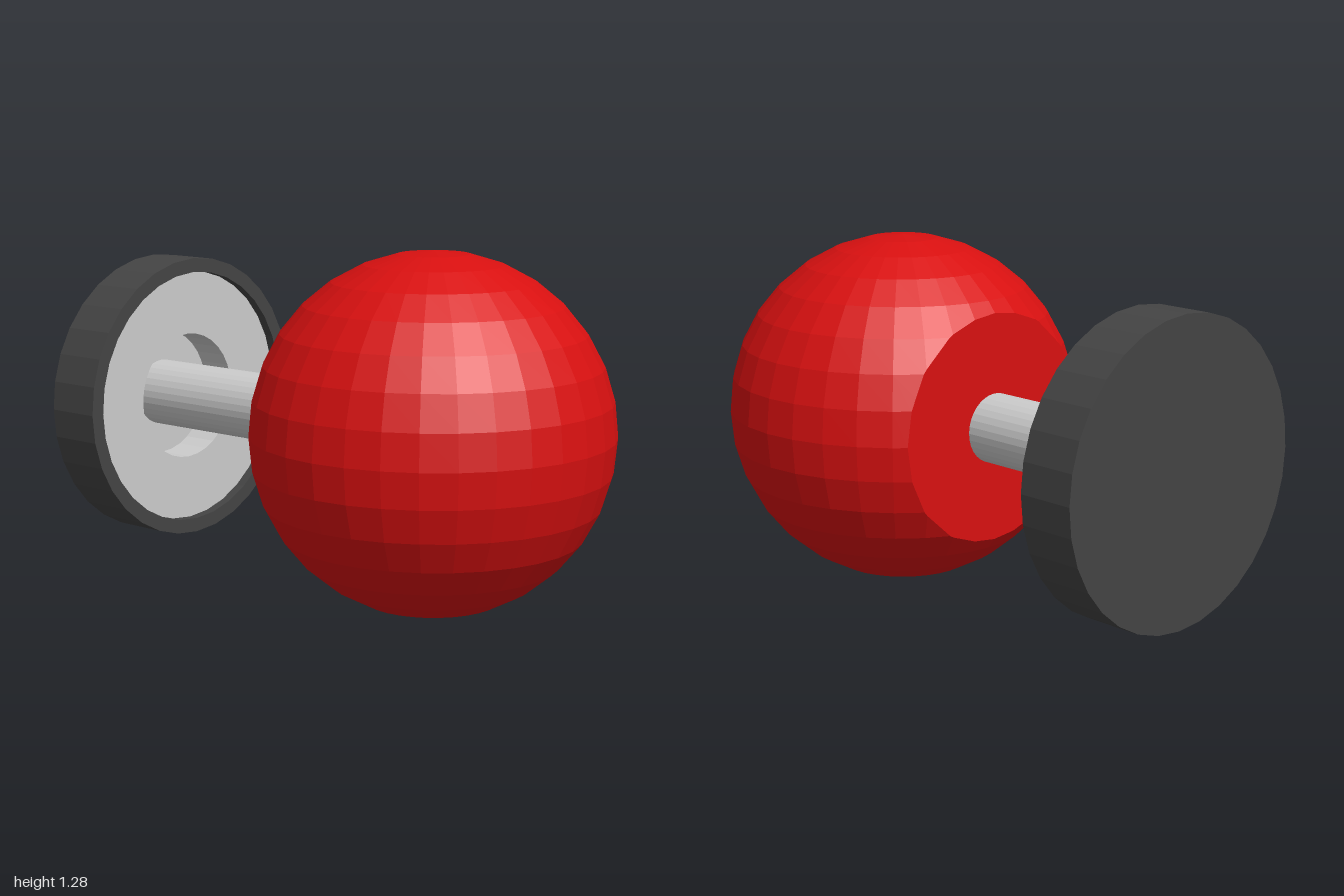
import * as THREE from 'three';

const AXIS_Y = 0.64; // height of the common axis
const SIDES = 32;

const paint = (color) => new THREE.MeshStandardMaterial({ color, flatShading: true });

// Solid of revolution around the x axis from [radius, x] points
function turned(name, profile, material) {
  const geometry = new THREE.LatheGeometry(profile.map(([r, x]) => new THREE.Vector2(r, x)), SIDES);
  geometry.rotateZ(-Math.PI / 2);
  const mesh = new THREE.Mesh(geometry, material);
  mesh.name = name;
  mesh.position.y = AXIS_Y;
  return mesh;
}

// Faceted sphere sliced flat at x = cut, closed with a disc
function slicedSphere(radius, cut) {
  const source = new THREE.SphereGeometry(radius, SIDES, 16).toNonIndexed().attributes.position;
  const center = new THREE.Vector3(cut, 0, 0);
  const out = [];
  const addTriangle = (...corners) => corners.forEach((p) => out.push(p.x, p.y, p.z));

  for (let i = 0; i < source.count; i += 3) {
    const tri = [0, 1, 2].map((k) => new THREE.Vector3().fromBufferAttribute(source, i + k));
    const kept = [];
    let leave = null;
    let enter = null;
    tri.forEach((a, k) => {
      const b = tri[(k + 1) % 3];
      const aIn = a.x >= cut;
      const bIn = b.x >= cut;
      if (aIn) kept.push(a);
      if (aIn !== bIn) {
        const p = a.clone().lerp(b, (cut - a.x) / (b.x - a.x));
        kept.push(p);
        if (aIn) leave = p;
        else enter = p;
      }
    });
    for (let k = 1; k + 1 < kept.length; k++) addTriangle(kept[0], kept[k], kept[k + 1]);
    if (leave && enter) addTriangle(center, enter, leave);
  }

  const geometry = new THREE.BufferGeometry();
  geometry.setAttribute('position', new THREE.Float32BufferAttribute(out, 3));
  geometry.computeVertexNormals();
  return geometry;
}

export function createModel() {
  const model = new THREE.Group();
  model.name = 'ballKnob';
  const red = paint(0xd81010);
  const dark = paint(0x444444);
  const grey = paint(0xcccccc);

  // Dark cup with a thin raised rim
  model.add(turned('baseCup', [[0, -1], [0.533, -1], [0.533, -0.79], [0.48, -0.79], [0.48, -0.828]], dark));

  // Recessed ring with a deep round pocket
  model.add(turned('ringInsert', [[0.48, -0.828], [0.24, -0.828], [0.24, -0.97], [0, -0.97]], grey));

  // Rod from the pocket floor into the ball
  model.add(turned('rod', [[0, -0.97], [0.125, -0.97], [0.125, -0.1], [0, -0.1]], grey));

  // Ball with a flat face toward the rod
  const ball = new THREE.Mesh(slicedSphere(0.64, -0.485), red);
  ball.name = 'ball';
  ball.position.set(0.36, AXIS_Y, 0);
  model.add(ball);

  return model;
}
